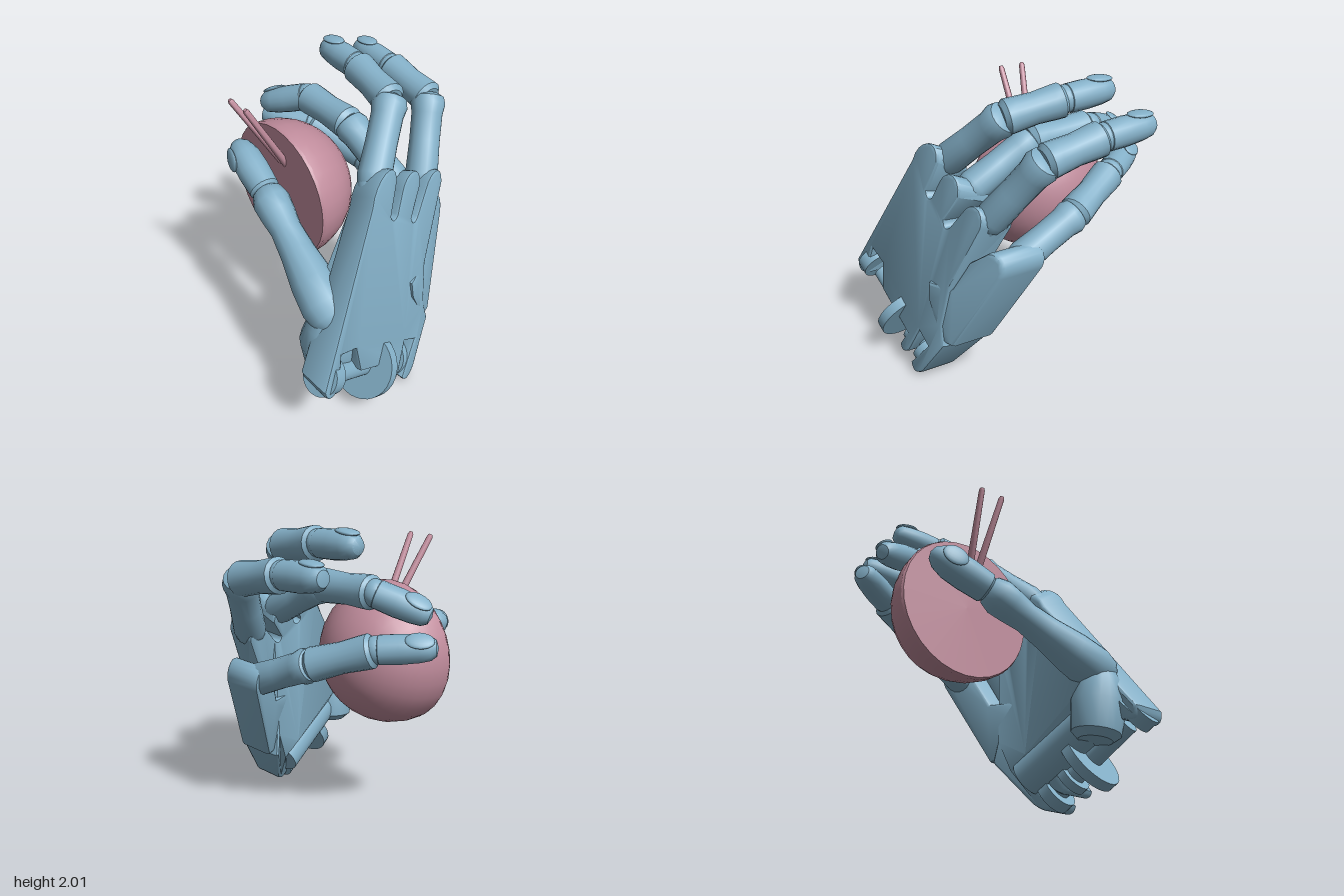
import * as THREE from 'three';
import { toCreasedNormals } from 'three/addons/utils/BufferGeometryUtils.js';

const blue = new THREE.MeshStandardMaterial({ color: 0x84b0c8 });
const pink = new THREE.MeshStandardMaterial({ color: 0xc08c9c, side: THREE.DoubleSide });
const UP = new THREE.Vector3(0, 1, 0);
const V = (a) => new THREE.Vector3(...a);

export function createModel() {
  const root = new THREE.Group();

  const add = (name, geometry, material = blue, parent = root) => {
    const mesh = new THREE.Mesh(geometry, material);
    mesh.name = name;
    parent.add(mesh);
    return mesh;
  };

  // Turned piece from p to q; profile rows are [fraction of length, radius]
  const limb = (name, p, q, profile, material = blue, parent = root, sides = 18) => {
    const a = V(p), d = V(q).sub(a), len = d.length();
    const pts = profile.map(([t, r]) => new THREE.Vector2(r, t * len));
    const geo = toCreasedNormals(new THREE.LatheGeometry(pts, sides), 0.7);
    const mesh = add(name, geo, material, parent);
    mesh.position.copy(a);
    mesh.quaternion.setFromUnitVectors(UP, d.normalize());
  };

  const ball = (name, p, r, parent) =>
    add(name, new THREE.SphereGeometry(r, 18, 12), blue, parent).position.set(...p);

  const rod = (name, p, q, r, material = blue, r2 = r) =>
    limb(name, p, q, [[0, 0], [0, r], [1, r2], [1, 0]], material, root, 32);

  // Plate drawn in side outline (-z, y), then laid on the sloping plane x = a + b*y + c*z;
  // the inner face drops a little near the knuckles
  const plate = (name, shape, [a, b, c], thickness) => {
    const geo = new THREE.ExtrudeGeometry(shape, {
      depth: 1, bevelThickness: 0.1, bevelSize: 0.02, bevelOffset: -0.02, bevelSegments: 2, curveSegments: 8,
    });
    const pos = geo.attributes.position;
    for (let i = 0; i < pos.count; i++) {
      const y = pos.getY(i), z = -pos.getX(i), inner = 1 - (pos.getZ(i) + 0.1) / 1.2;
      const drop = 0.1 * inner * THREE.MathUtils.smoothstep(y, 1.1, 1.5);
      pos.setXYZ(i, a + b * y + c * z - inner * thickness(y, z), y - drop, z);
    }
    geo.deleteAttribute('normal');
    add(name, toCreasedNormals(geo, 0.6));
  };

  // Palm with three knuckle tabs above and forked wrist lobes below
  const palm = new THREE.Shape();
  palm.moveTo(-0.77, 0.53);
  palm.lineTo(-0.21, 1.47);
  palm.bezierCurveTo(-0.17, 1.63, 0.04, 1.7, 0.04, 1.53);
  palm.lineTo(-0.04, 1.32);
  palm.quadraticCurveTo(-0.02, 1.26, 0.02, 1.3);
  palm.lineTo(0.08, 1.43);
  palm.bezierCurveTo(0.13, 1.54, 0.28, 1.54, 0.27, 1.39);
  palm.lineTo(0.16, 1.2);
  palm.quadraticCurveTo(0.17, 1.13, 0.22, 1.18);
  palm.lineTo(0.32, 1.32);
  palm.bezierCurveTo(0.38, 1.43, 0.52, 1.42, 0.5, 1.28);
  palm.lineTo(0.28, 0.8);
  palm.lineTo(0.25, 0.5);
  palm.lineTo(0.28, 0.36);
  palm.lineTo(0.1, 0.07);
  palm.quadraticCurveTo(0.0, -0.03, -0.04, 0.07);
  palm.lineTo(0.12, 0.28);
  palm.lineTo(0.02, 0.34);
  palm.lineTo(-0.07, 0.14);
  palm.quadraticCurveTo(-0.15, 0.06, -0.18, 0.14);
  palm.lineTo(-0.11, 0.26);
  palm.lineTo(-0.44, 0.44);
  palm.lineTo(-0.46, 0.63);
  palm.lineTo(-0.59, 0.68);
  palm.lineTo(-0.64, 0.47);
  palm.quadraticCurveTo(-0.76, 0.41, -0.77, 0.53);
  plate('palm', palm, [0.762, -0.144, 0.205], (y, z) => {
    const s = 0.87 * y - 0.5 * z;
    return 0.21 + 0.15 * Math.exp(-(((s - 0.42) / 0.26) ** 2));
  });

  // Little finger's palm plate, folded inwards
  const side = new THREE.Shape();
  side.moveTo(0.1, 0.76);
  side.lineTo(0.28, 0.78);
  side.lineTo(0.38, 1.0);
  side.lineTo(0.47, 1.08);
  side.bezierCurveTo(0.53, 1.16, 0.64, 1.08, 0.6, 0.97);
  side.lineTo(0.33, 0.38);
  side.lineTo(0.24, 0.38);
  side.lineTo(0.11, 0.64);
  plate('sidePalm', side, [0.81, -0.143, 0.447], () => 0.3);

  // Wrist axle, its inner core, and discs
  const axle = (z) => [0.6 + 0.18 * z, 0.13 + 0.585 * z, z];
  rod('wristAxle', axle(-0.02), axle(0.6), 0.07);
  rod('wristCore', [0.46, 0.24, -0.1], [0.56, 0.52, 0.45], 0.13);
  [[0.29, 0.03, 0.225, 'wristWheel'], [0.01, 0.035, 0.13, 'innerWristDisc'],
    [0.15, 0.025, 0.12, 'middleWristDisc'], [0.68, 0.04, 0.125, 'outerWristDisc']]
    .forEach(([z, h, r, name]) => rod(name, axle(z - h), axle(z + h), r));

  // Fingers: base knuckle, two joints, tip, nail direction
  const proximal = [[-0.08, 0], [-0.06, 0.06], [0.02, 0.095], [0.12, 0.105], [0.5, 0.098],
    [0.82, 0.1], [0.94, 0.112], [1.02, 0.1], [1.06, 0.06], [1.06, 0]];
  const middleBone = [[-0.02, 0], [-0.02, 0.08], [0.05, 0.108], [0.2, 0.104], [0.5, 0.096],
    [0.8, 0.104], [0.93, 0.106], [0.98, 0.085], [0.98, 0]];
  const distal = [[0, 0], [0, 0.07], [0.05, 0.088], [0.4, 0.09], [0.7, 0.083], [0.88, 0.072],
    [0.97, 0.048], [1, 0]];

  // Nail laid almost flush on the outer side of a tip running from p to q
  const nail = (p, q, out, r, parent) => {
    const dir = V(q).sub(V(p)).normalize();
    const n = V(out).addScaledVector(dir, -V(out).dot(dir)).normalize();
    const m = add('nail', new THREE.SphereGeometry(1, 18, 10), blue, parent);
    m.scale.set(r * 0.68, 0.085, 0.018);
    m.position.copy(V(p).lerp(V(q), 0.72)).addScaledVector(n, r * 0.94);
    const bx = new THREE.Vector3().crossVectors(dir, n);
    m.quaternion.setFromRotationMatrix(new THREE.Matrix4().makeBasis(bx, dir, n));
    m.rotateX(-0.14);
  };

  const fingers = {
    indexFinger: [[0.43, 1.47, 0.07], [0.2, 1.83, -0.27], [-0.18, 1.9, -0.33], [-0.51, 1.92, -0.34], [0, 1, 0]],
    middleFinger: [[0.4, 1.36, -0.17], [-0.04, 1.6, -0.16], [-0.47, 1.62, -0.16], [-0.78, 1.5, -0.01], [-0.3, 1, -0.4]],
    ringFinger: [[0.38, 1.25, -0.4], [0.15, 1.69, -0.66], [-0.23, 1.77, -0.67], [-0.57, 1.8, -0.68], [0, 1, 0]],
    littleFinger: [[0.24, 0.99, -0.5], [-0.2, 1.18, -0.44], [-0.58, 1.32, -0.27], [-0.88, 1.35, -0.07], [-0.4, 0.9, -0.6]],
  };
  for (const [name, [a, b, c, d, out]] of Object.entries(fingers)) {
    const finger = new THREE.Group();
    finger.name = name;
    root.add(finger);
    ball('knuckle', a, 0.09, finger);
    limb('lowerBone', a, b, proximal, blue, finger);
    limb('middleBone', b, c, middleBone, blue, finger);
    ball('joint', c, 0.085, finger);
    limb('fingertip', c, d, distal, blue, finger);
    nail(c, d, out, 0.083, finger);
  }

  // Thumb with its mount on the wrist
  const thumb = new THREE.Group();
  thumb.name = 'thumb';
  root.add(thumb);
  const t0 = [0.56, 0.82, 0.51], t1 = [-0.18, 1.21, 0.39], t2 = [-0.62, 1.39, 0.33];
  limb('thumbBone', t0, t1, [[-0.15, 0], [-0.13, 0.07], [-0.06, 0.125], [0.05, 0.15], [0.25, 0.142], [0.5, 0.113],
    [0.7, 0.1], [0.85, 0.115], [0.96, 0.122], [1.04, 0.1], [1.08, 0.06], [1.08, 0]], blue, thumb, 14);
  limb('thumbTip', t1, t2, [[0.1, 0], [0.1, 0.08], [0.14, 0.1], [0.45, 0.107], [0.7, 0.103], [0.88, 0.08],
    [0.97, 0.045], [1, 0]], blue, thumb);
  nail(t1, t2, [-0.2, 0.1, 1], 0.103, thumb);
  limb('thumbMount', [0.53, 0.36, 0.48], [0.57, 0.8, 0.53], [[0, 0], [0, 0.11], [0.1, 0.16], [0.55, 0.18],
    [0.9, 0.13], [1.1, 0.08], [1.15, 0]], blue, thumb);

  // Held half ball, flat side to the front
  const dome = new THREE.SphereGeometry(0.47, 28, 10, 0, Math.PI * 2, 0, Math.PI / 2).rotateX(-Math.PI / 2);
  add('halfBall', dome, pink).position.set(-0.285, 1.14, 0.225);
  rod('halfBallFace', [-0.285, 1.14, 0.22], [-0.285, 1.14, 0.24], 0.47, pink, 0.462);

  // Two thin sticks standing out of the flat side
  [[[-0.265, 1.37, 0.22], [-0.36, 1.87, 0.51]], [[-0.215, 1.37, 0.22], [-0.2, 1.87, 0.51]]].forEach(([p, q]) =>
    limb('stick', p, q, [[0, 0], [0, 0.025], [0.97, 0.019], [1, 0.012], [1, 0]], pink, root, 12));

  return root;
}
